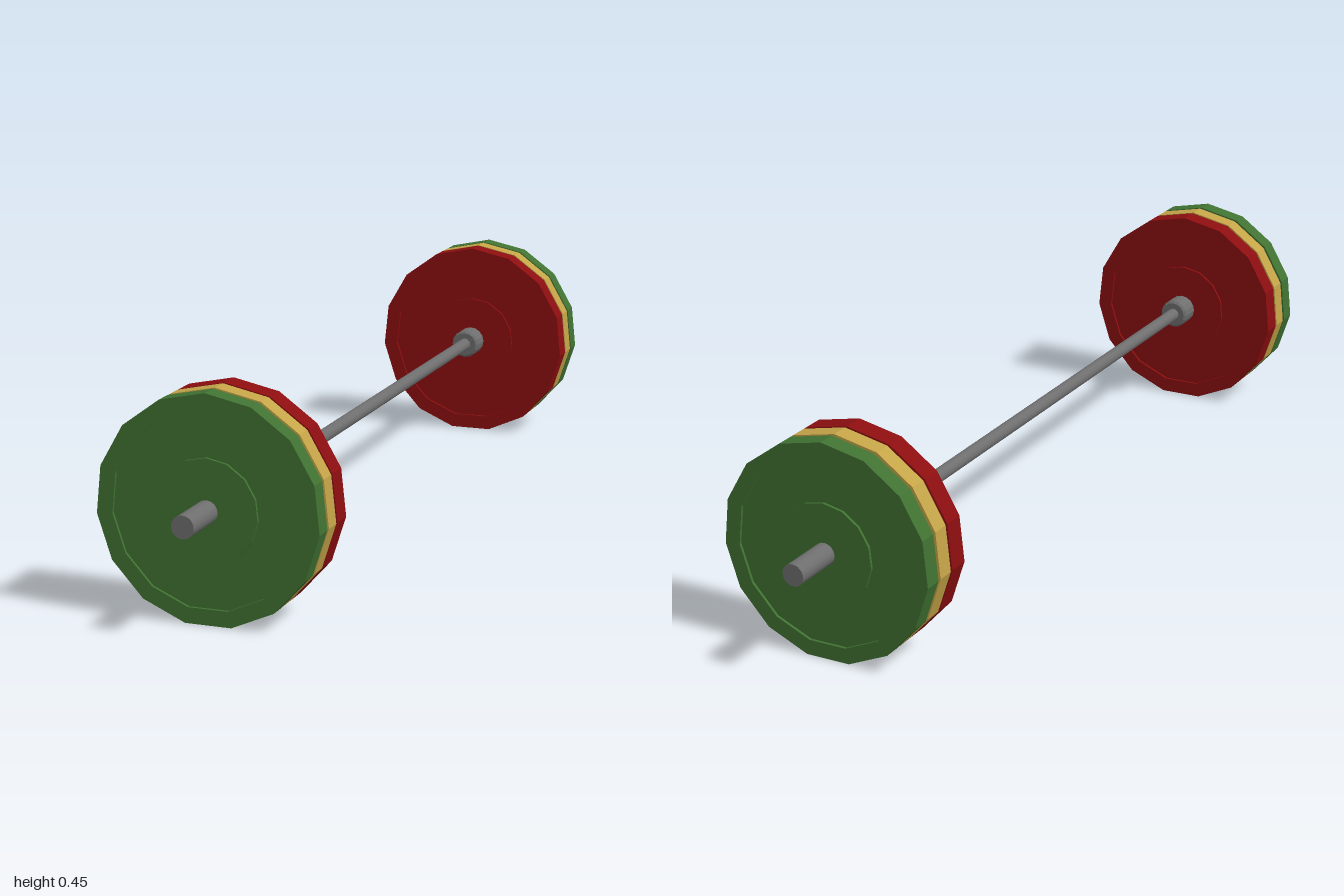
import * as THREE from 'three';

const AXIS_Y = 0.225;

function material(name, color, flatShading = false) {
  const m = new THREE.MeshStandardMaterial({ color, flatShading });
  m.name = name;
  return m;
}

// Revolves a [radius, z] profile around the z axis, with a corner at the top
function turned(name, profile, sides, mat) {
  const points = profile.map(([r, z]) => new THREE.Vector2(r, z));
  const geometry = new THREE.LatheGeometry(points, sides, Math.PI);
  geometry.rotateX(Math.PI / 2);
  const mesh = new THREE.Mesh(geometry, mat);
  mesh.name = name;
  return mesh;
}

// Half of the plate section: hub, recessed web, raised rim
function plateProfile(z0, z1) {
  const recess = 0.006;
  const face = [[0.015, 0], [0.105, 0], [0.105, recess], [0.197, recess], [0.197, 0], [0.23, 0]];
  const inner = face.map(([r, d]) => [r, z0 + d]);
  const outer = face.map(([r, d]) => [r, z1 - d]).reverse();
  return [...inner, ...outer];
}

export function createModel() {
  const steel = material('steel grey', 0x6e6e6e, true);
  const red = material('plate red', 0x8c0e10, true);
  const yellow = material('plate yellow', 0xc4a448, true);
  const green = material('plate green', 0x407232, true);

  const model = new THREE.Group();
  model.name = 'barbell';

  // Thin grip bar
  const bar = turned('gripBar', [[0.0145, -0.71], [0.0145, 0.71]], 16, steel);
  bar.position.y = AXIS_Y;
  model.add(bar);

  const plates = [
    ['innerPlate', 0.75, 0.797, red],
    ['middlePlate', 0.803, 0.842, yellow],
    ['outerPlate', 0.85, 0.89, green],
  ];

  // Two loaded ends, the second one turned around
  for (const [name, turn] of [['frontEnd', 0], ['backEnd', Math.PI]]) {
    const end = new THREE.Group();
    end.name = name;
    end.position.y = AXIS_Y;
    end.rotation.y = turn;

    // Sleeve carrying the plates
    end.add(turned('sleeve', [[0, 0.72], [0.023, 0.72], [0.023, 1], [0, 1]], 24, steel));

    // Stop collar with softened edges
    end.add(turned('collar', [
      [0.012, 0.695], [0.028, 0.695], [0.033, 0.7], [0.033, 0.745], [0.028, 0.75], [0.02, 0.75],
    ], 16, steel));

    for (const [plateName, z0, z1, mat] of plates) {
      end.add(turned(plateName, plateProfile(z0, z1), 15, mat));
    }
    model.add(end);
  }
  return model;
}
